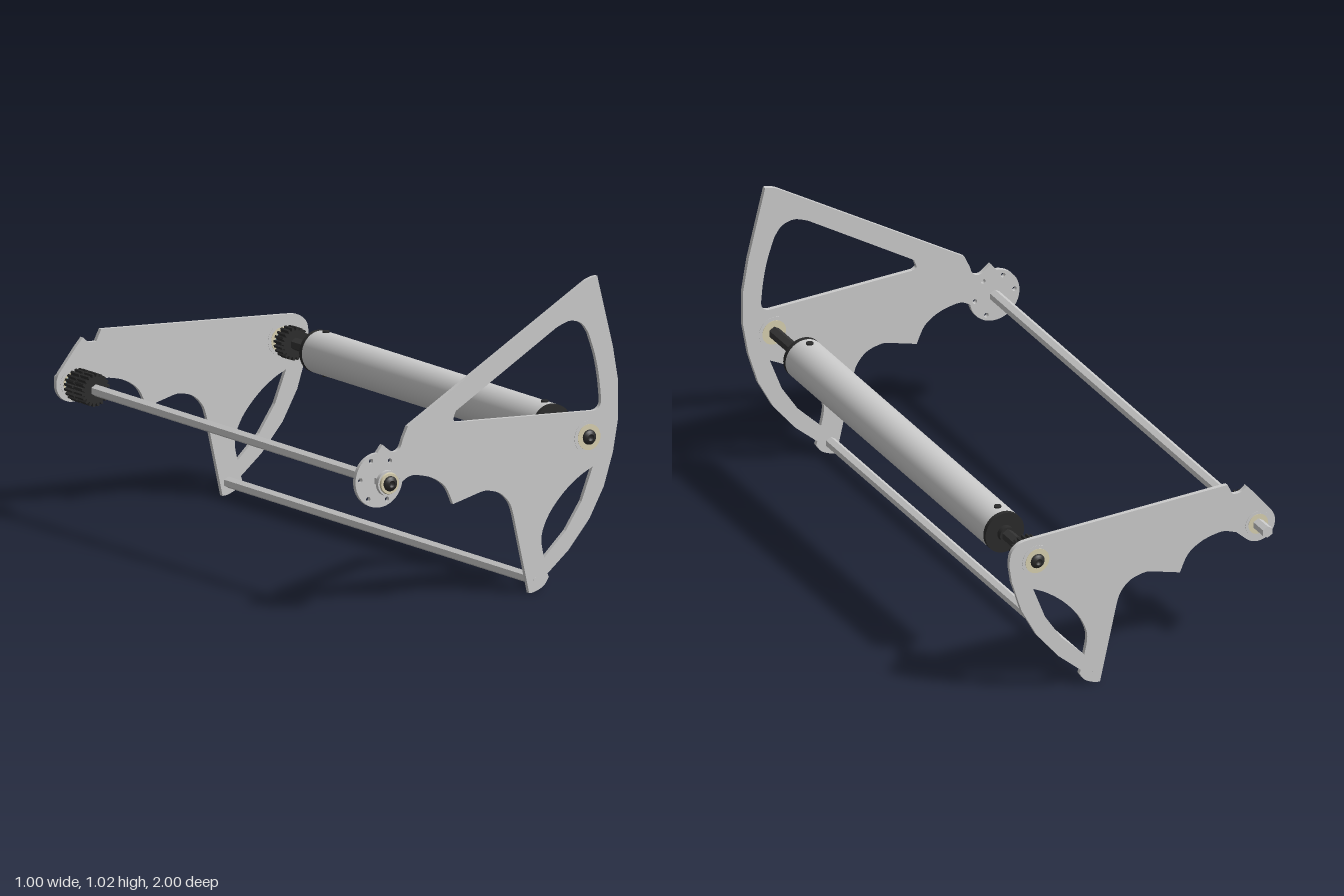
import * as THREE from 'three';

const steel = new THREE.MeshStandardMaterial({ color: 0xcccccc });
const hexSteel = new THREE.MeshStandardMaterial({ color: 0xcccccc, flatShading: true });
const black = new THREE.MeshStandardMaterial({ color: 0x2b2b2b });
const hexBlack = new THREE.MeshStandardMaterial({ color: 0x333333, flatShading: true });
const cream = new THREE.MeshStandardMaterial({ color: 0xd8d0b0 });
const blue = new THREE.MeshStandardMaterial({ color: 0x8fc4e0 });

const SHAFT = [-0.413, 0.435]; // drive shaft axis (x, y)
const ROLLER = [0.388, 0.488]; // roller axis
const ROD = [0.182, 0.043];    // tie rod axis
const v = (pts) => pts.map(([x, y]) => new THREE.Vector2(x, y));

export function createModel() {
  const model = new THREE.Group();

  const add = (name, geometry, material, x = 0, y = 0, z = 0) => {
    const mesh = new THREE.Mesh(geometry, material);
    mesh.name = name;
    mesh.position.set(x, y, z);
    model.add(mesh);
    return mesh;
  };
  // cylinder along z between two depths
  const bar = (name, [x, y], r, z0, z1, material, sides = 32, rEnd = r) => {
    const g = new THREE.CylinderGeometry(rEnd, r, z1 - z0, sides).rotateX(Math.PI / 2);
    return add(name, g, material, x, y, (z0 + z1) / 2);
  };
  const lines = (path, pts) => pts.forEach(([x, y]) => path.lineTo(x, y));
  const circle = ([x, y], r) => new THREE.Path().absarc(x, y, r, 0, Math.PI * 2);
  const deg = THREE.MathUtils.degToRad;

  // scalloped underside, leg, foot and outer curve shared by both side plates
  const lowerEdge = (s) => {
    s.splineThru(v([[-0.30, 0.434], [-0.27, 0.436], [-0.21, 0.42], [-0.16, 0.385], [-0.13, 0.325]]));
    s.lineTo(-0.03, 0.352);
    s.splineThru(v([[0, 0.355], [0.05, 0.34], [0.085, 0.305], [0.10, 0.265]]));
    lines(s, [[0.16, 0]]);
    s.splineThru(v([[0.18, 0.002], [0.215, 0.018], [0.235, 0.045]]));
    lines(s, [[0.23, 0.057], [0.31, 0.125], [0.39, 0.22], [0.445, 0.32], [0.48, 0.43]]);
  };
  const lowerWindow = () => {
    const h = new THREE.Path();
    h.moveTo(0.403, 0.39);
    h.splineThru(v([[0.35, 0.362], [0.29, 0.315], [0.235, 0.25], [0.207, 0.18], [0.217, 0.11]]));
    lines(h, [[0.30, 0.19], [0.36, 0.28], [0.403, 0.39]]);
    return h;
  };
  const plate = (name, shape, z) => add(name,
    new THREE.ExtrudeGeometry(shape, { depth: 0.015, bevelEnabled: false, curveSegments: 16 }), steel, 0, 0, z);

  // front side plate with the tall fin
  const front = new THREE.Shape();
  front.moveTo(0.42, 1.015);
  front.quadraticCurveTo(0.39, 1.012, 0.37, 1.0);
  lines(front, [[-0.303, 0.60], [-0.322, 0.56]]);
  front.splineThru(v([[-0.335, 0.53], [-0.362, 0.523], [-0.40, 0.55]]));
  front.lineTo(-0.42, 0.525);
  front.absarc(...SHAFT, 0.09, deg(94), deg(351));
  lowerEdge(front);
  lines(front, [[0.50, 0.54], [0.50, 0.66], [0.48, 0.775], [0.42, 1.015]]);
  const upperWindow = new THREE.Path();
  upperWindow.moveTo(-0.12, 0.63);
  upperWindow.lineTo(0.265, 0.862);
  upperWindow.splineThru(v([[0.315, 0.878], [0.36, 0.865], [0.387, 0.83]]));
  upperWindow.splineThru(v([[0.412, 0.755], [0.427, 0.68], [0.435, 0.605]]));
  upperWindow.quadraticCurveTo(0.433, 0.573, 0.40, 0.573);
  upperWindow.lineTo(-0.115, 0.593);
  upperWindow.splineThru(v([[-0.129, 0.603], [-0.12, 0.63]]));
  front.holes.push(upperWindow, lowerWindow());
  for (let i = 0; i < 6; i++) {
    const a = deg(55 + 60 * i);
    front.holes.push(circle([SHAFT[0] + 0.072 * Math.cos(a), SHAFT[1] + 0.072 * Math.sin(a)], 0.008));
  }
  plate('frontSidePlate', front, 0.905);

  // back side plate, low top edge
  const back = new THREE.Shape();
  back.moveTo(0.41, 0.57);
  lines(back, [[-0.303, 0.60], [-0.322, 0.562]]);
  back.splineThru(v([[-0.35, 0.563], [-0.373, 0.58]]));
  back.lineTo(-0.40, 0.55);
  back.absarc(...SHAFT, 0.062, deg(140), deg(310));
  lines(back, [[-0.335, 0.422]]);
  lowerEdge(back);
  back.lineTo(0.489, 0.49);
  back.splineThru(v([[0.482, 0.535], [0.452, 0.563], [0.41, 0.57]]));
  back.holes.push(lowerWindow());
  plate('backSidePlate', back, -0.932);

  // roller tube with end caps and set screws
  bar('rollerTube', ROLLER, 0.07, -0.69, 0.69, steel, 48);
  for (const s of [-1, 1]) {
    const span = (a, b) => (s > 0 ? [a, b] : [-b, -a]);
    bar('rollerEndCap', ROLLER, 0.07, ...span(0.69, 0.706), black, 48);
    bar('rollerCollar', ROLLER, 0.027, ...span(0.706, 0.725), black);
    bar('rollerHexShaft', ROLLER, 0.021, ...span(0.725, 0.915), hexBlack, 6);
    for (const t of [-1, 1])
      add('rollerSetScrew', new THREE.CylinderGeometry(0.012, 0.012, 0.012, 16), black,
        ROLLER[0], ROLLER[1] + t * 0.069, s * 0.655);
  }

  // bearings in the plates: outer race, cream ring
  const bearing = ([x, y], z, depth, r) => {
    bar('bearingRace', [x, y], r, z - depth / 2, z + depth / 2, steel);
    bar('bearingRing', [x, y], r * 0.78, z - depth / 2 - 0.001, z + depth / 2 + 0.001, cream);
  };
  bearing(ROLLER, 0.9125, 0.017, 0.055);
  bearing(ROLLER, -0.9245, 0.017, 0.055);
  bearing(SHAFT, -0.9245, 0.017, 0.045);

  // domed socket screws
  const screw = (name, [x, y], z, dir) => {
    const dome = new THREE.LatheGeometry(
      v([[0.025, 0], [0.0245, 0.004], [0.021, 0.009], [0.012, 0.013], [0.011, 0.013], [0.011, 0.005], [0, 0.005]]), 24);
    add(name, dome.rotateX(dir * Math.PI / 2), black, x, y, z);
  };
  screw('frontRollerScrew', ROLLER, 0.921, 1);
  screw('backRollerScrew', ROLLER, -0.933, -1);

  // drive shaft with its front end flange
  bar('driveShaft', SHAFT, 0.02, -1, 0.968, hexSteel, 6);
  bar('shaftFlange', SHAFT, 0.042, 0.966, 0.98, steel);
  bar('shaftFlangeRing', SHAFT, 0.036, 0.98, 0.986, cream, 32, 0.034);
  screw('shaftScrew', SHAFT, 0.986, 1);

  // tie rod joining the feet of the plates
  bar('tieRod', ROD, 0.019, -0.918, 0.906, hexSteel, 6);
  for (const z of [-0.9245, 0.9125]) bar('tieRodScrew', ROD, 0.007, z - 0.008, z + 0.008, steel, 16);

  // toothed gears
  const gear = (name, [x, y], z0, z1) => {
    const teeth = 20, pts = [];
    for (let i = 0; i < teeth; i++)
      for (const [f, r] of [[0, 0.044], [0.25, 0.044], [0.4, 0.054], [0.8, 0.054]]) {
        const a = ((i + f) / teeth) * Math.PI * 2;
        pts.push([r * Math.cos(a), r * Math.sin(a)]);
      }
    add(name, new THREE.ExtrudeGeometry(new THREE.Shape(v(pts)), { depth: z1 - z0, bevelEnabled: false }), black, x, y, z0);
  };
  gear('rollerGear', ROLLER, -0.885, -0.837);
  gear('shaftGearOuter', SHAFT, -0.885, -0.835);
  gear('shaftGearInner', SHAFT, -0.828, -0.777);
  bar('shaftGearHub', SHAFT, 0.042, -0.836, -0.827, black);

  // blue spacers between gears and back plate
  bar('rollerSpacer', ROLLER, 0.027, -0.917, -0.885, blue);
  bar('shaftSpacer', SHAFT, 0.027, -0.917, -0.885, blue);

  return model;
}
